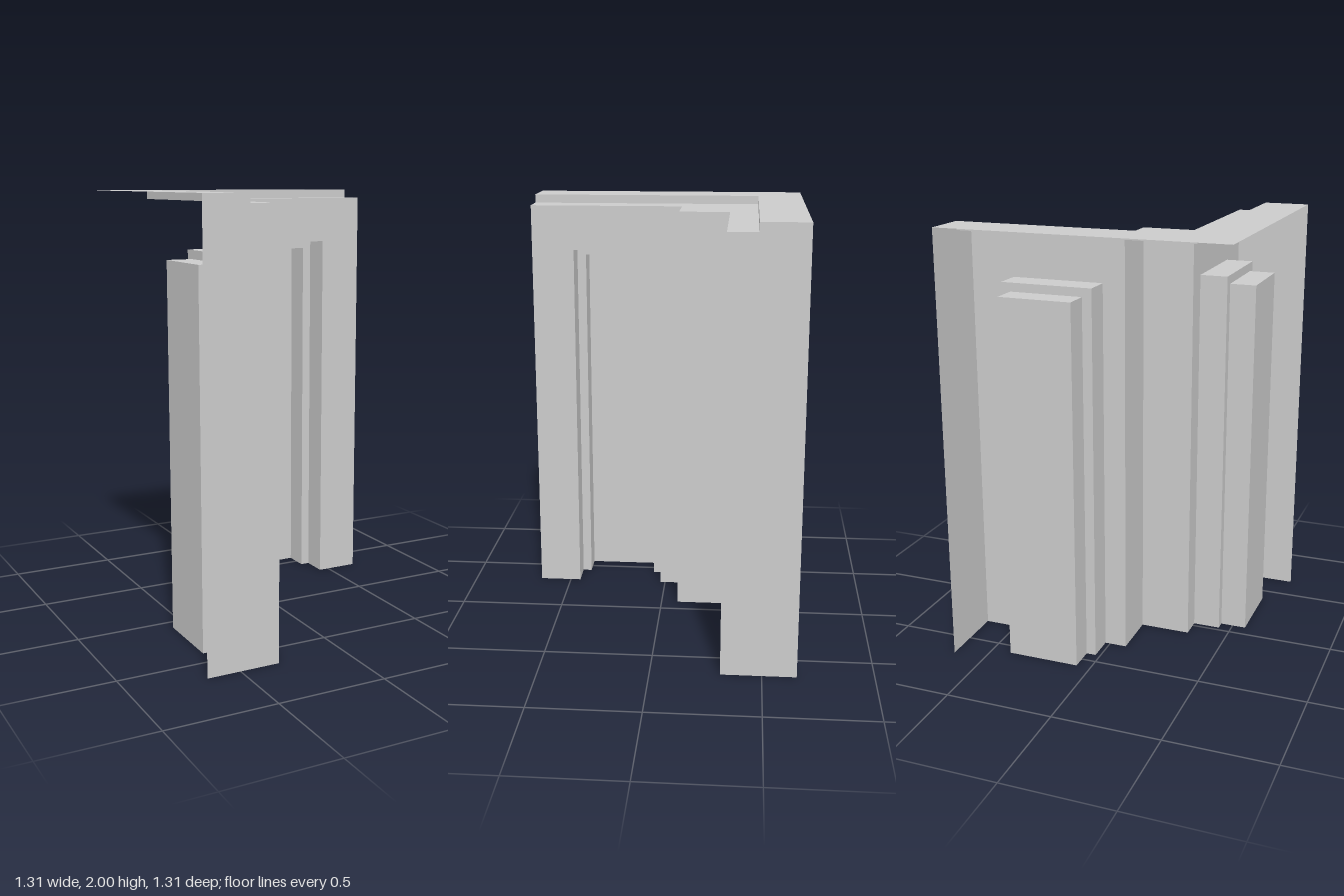
import * as THREE from 'three';

const OUT = 0.655;    // outer edge of the L plan
const FACE = -0.315;  // front face of each wing
const STEP = -0.445;  // line where the top drops down
const POST = -0.08;   // outer corner of the inside post
const TOP = 2, LOW = 1.96;

const material = new THREE.MeshStandardMaterial({ color: 0xcccccc, side: THREE.DoubleSide });

function part(name, geometry) {
  const mesh = new THREE.Mesh(geometry, material);
  mesh.name = name;
  return mesh;
}

const polygon = (points) =>
  new THREE.ShapeGeometry(new THREE.Shape(points.map(([a, b]) => new THREE.Vector2(a, b))));

// Flat sheets: facing +z from (x, y), facing +x from (z, y), facing up from (x, z)
const facingFront = (z, pts) => polygon(pts).translate(0, 0, z);
const facingSide = (x, pts) =>
  polygon(pts.map(([z, y]) => [-z, y])).rotateY(Math.PI / 2).translate(x, 0, 0);
const facingUp = (y, pts) =>
  polygon(pts.map(([x, z]) => [x, -z])).rotateX(-Math.PI / 2).translate(0, y, 0);

const rect = (a0, b0, a1, b1) => [[a0, b0], [a1, b0], [a1, b1], [a0, b1]];

// Outline of a doorway-shaped opening, left foot to right foot
const doorway = ({ x0, x1, h }) => [[x0, 0], [x0, h], [x1, h], [x1, 0]];

// Jambs and head of an opening, running back from zFront to zBack
function reveal(opening, zFront, zBack) {
  const path = doorway(opening), pos = [];
  for (let i = 0; i < path.length - 1; i++) {
    const [a, b] = [path[i], path[i + 1]];
    pos.push(...a, zFront, ...b, zBack, ...b, zFront);
    pos.push(...a, zFront, ...a, zBack, ...b, zBack);
  }
  const geometry = new THREE.BufferGeometry();
  geometry.setAttribute('position', new THREE.Float32BufferAttribute(pos, 3));
  geometry.computeVertexNormals();
  return geometry;
}

// One wing along x, with a two-step niche, open at the back and below
function createWing() {
  const wing = new THREE.Group();
  const outer = { x0: 0.023, x1: 0.45, h: 1.745 };
  const inner = { x0: 0.068, x1: 0.407, h: 1.705 };
  const zLedge = -0.442, zPanel = -0.563;

  wing.add(
    part('frontWall', facingFront(FACE,
      [[POST, 0], ...doorway(outer), [OUT, 0], [OUT, LOW], [POST, LOW]])),
    part('nicheOuterReveal', reveal(outer, FACE, zLedge)),
    part('nicheLedge', facingFront(zLedge, [...doorway(outer), ...doorway(inner).reverse()])),
    part('nicheInnerReveal', reveal(inner, zLedge, zPanel)),
    part('nicheBackPanel', facingFront(zPanel, doorway(inner))),
    part('endCap', facingSide(OUT,
      [[-OUT, 0], [FACE, 0], [FACE, LOW], [STEP, LOW], [STEP, TOP], [-OUT, TOP]])),
    part('cornerPostSide', facingSide(POST, rect(FACE, 0, POST, LOW))),
    part('topRiser', facingFront(STEP, rect(STEP, LOW, OUT, TOP))),
  );
  return wing;
}

export function createModel() {
  const model = new THREE.Group();
  model.name = 'cornerWall';

  const backWing = createWing();
  backWing.name = 'backWing';

  // The other wing is the same with x and z swapped
  const sideWing = createWing();
  sideWing.name = 'sideWing';
  sideWing.rotation.y = Math.PI / 2;
  sideWing.scale.x = -1;

  // Stepped L-shaped top
  const upperTop = part('upperTop', facingUp(TOP,
    [[-OUT, -OUT], [OUT, -OUT], [OUT, STEP], [STEP, STEP], [STEP, OUT], [-OUT, OUT]]));
  const lowerTop = part('lowerTop', facingUp(LOW,
    [[STEP, STEP], [OUT, STEP], [OUT, FACE], [POST, FACE], [POST, POST],
      [FACE, POST], [FACE, OUT], [STEP, OUT]]));

  model.add(backWing, sideWing, upperTop, lowerTop);
  return model;
}
